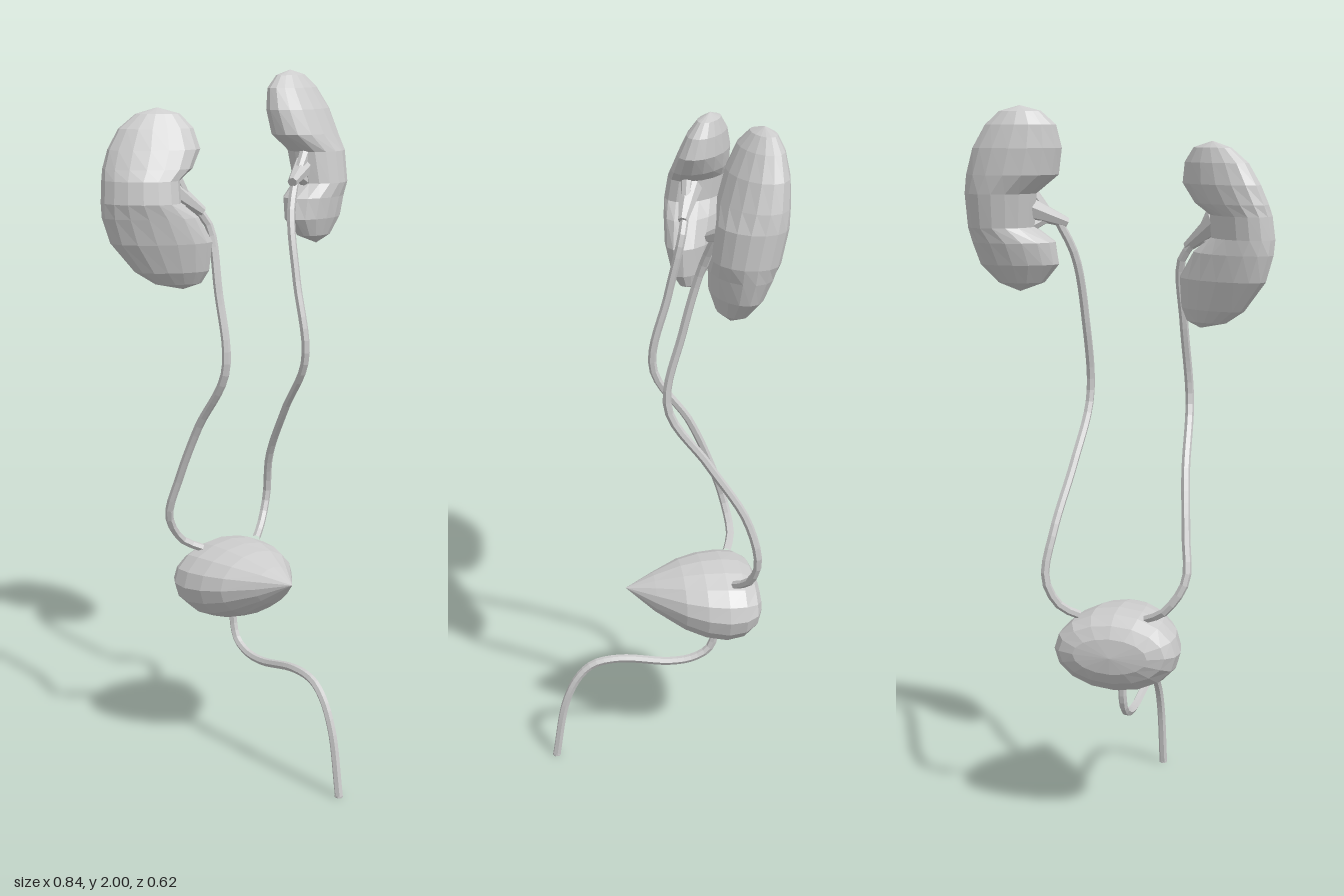
import * as THREE from 'three';

const tissue = new THREE.MeshStandardMaterial({ color: 0xcccccc, flatShading: true });
tissue.name = 'pale grey tissue';
const SIDES = 16;

function addMesh(parent, geometry, name) {
  const mesh = new THREE.Mesh(geometry, tissue);
  mesh.name = name;
  parent.add(mesh);
}

// Skin a closed body over cross-sections; the first and last rows are poles
function loft(rows, pointAt) {
  const positions = [], index = [], last = rows.length - 1;
  rows.forEach((row, i) => {
    for (let j = 0; j < SIDES; j++) {
      positions.push(...pointAt(row, (j / SIDES) * Math.PI * 2));
      if (i === last) continue;
      const a = i * SIDES + j, b = i * SIDES + ((j + 1) % SIDES);
      if (i > 0) index.push(a, b, a + SIDES);
      if (i < last - 1) index.push(b, b + SIDES, a + SIDES);
    }
  });
  const g = new THREE.BufferGeometry();
  g.setAttribute('position', new THREE.Float32BufferAttribute(positions, 3));
  g.setIndex(index);
  g.computeVertexNormals();
  return g;
}

// Kidney outline rows: y, inner x, outer x. Thickness follows an ellipse,
// the body leans from zTop to zBottom and skew turns each section.
function kidney({ outline, zTop, zBottom, depth, skew }) {
  const top = outline[0][0], height = top - outline[outline.length - 1][0];
  return loft(outline, ([y, inner, outer], angle) => {
    const t = (top - y) / height;
    const dx = (Math.abs(outer - inner) / 2) * Math.cos(angle);
    const thickness = depth * Math.sqrt(Math.max(0, 1 - (2 * t - 1) ** 2));
    const z = THREE.MathUtils.lerp(zTop, zBottom, t);
    return [(inner + outer) / 2 + dx, y, z + thickness * Math.sin(angle) + skew * dx];
  });
}

const vec = (p) => new THREE.Vector3(...p);
const tube = (points) => new THREE.TubeGeometry(new THREE.CatmullRomCurve3(points.map(vec)), 36, 0.012, 6);

// Tapered funnel running from one point to another
function funnel(from, to, r0, r1) {
  const dir = to.clone().sub(from), mid = from.clone().lerp(to, 0.5);
  const turn = new THREE.Quaternion().setFromUnitVectors(new THREE.Vector3(0, 1, 0), dir.clone().normalize());
  return new THREE.CylinderGeometry(r1, r0, dir.length(), 7)
    .applyQuaternion(turn).translate(mid.x, mid.y, mid.z);
}

const leftKidney = {
  zTop: -0.24, zBottom: -0.158, depth: 0.087, skew: -0.15,
  outline: [
    [2.0, 0.255, 0.255], [1.985, 0.2, 0.31], [1.95, 0.163, 0.35], [1.89, 0.152, 0.388],
    [1.82, 0.165, 0.41], [1.77, 0.23, 0.417], [1.68, 0.24, 0.415], [1.64, 0.185, 0.407],
    [1.58, 0.178, 0.39], [1.53, 0.22, 0.345], [1.505, 0.288, 0.288],
  ],
};
const rightKidney = {
  zTop: -0.192, zBottom: -0.138, depth: 0.085, skew: 0.4,
  outline: [
    [1.91, -0.25, -0.25], [1.893, -0.195, -0.305], [1.855, -0.167, -0.352], [1.8, -0.158, -0.385],
    [1.75, -0.19, -0.405], [1.72, -0.233, -0.413], [1.66, -0.235, -0.42], [1.62, -0.185, -0.417],
    [1.55, -0.144, -0.397], [1.47, -0.15, -0.337], [1.435, -0.167, -0.285], [1.418, -0.21, -0.21],
  ],
};

// Ureters run from the kidney hilum down to the bladder
const leftUreter = [
  [0.19, 1.703, -0.135], [0.148, 1.6, -0.105], [0.132, 1.42, -0.06], [0.132, 1.2, -0.02],
  [0.148, 1.03, -0.13], [0.175, 0.86, -0.238], [0.19, 0.73, -0.27], [0.155, 0.652, -0.252],
  [0.11, 0.62, -0.22],
];
const rightUreter = [
  [-0.185, 1.645, -0.115], [-0.147, 1.59, -0.1], [-0.147, 1.42, -0.062], [-0.155, 1.2, -0.02],
  [-0.17, 1.02, -0.13], [-0.188, 0.86, -0.2], [-0.196, 0.74, -0.24], [-0.14, 0.655, -0.252],
  [-0.085, 0.625, -0.232],
];

// Bladder rows from the front tip to the back: z, half width, top y, bottom y
const bladder = [
  [0.083, 0, 0.572, 0.572], [0, 0.068, 0.607, 0.497], [-0.08, 0.133, 0.633, 0.445],
  [-0.14, 0.162, 0.643, 0.42], [-0.2, 0.175, 0.645, 0.409], [-0.25, 0.172, 0.638, 0.42],
  [-0.285, 0.15, 0.615, 0.45], [-0.303, 0.105, 0.582, 0.482], [-0.31, 0, 0.53, 0.53],
];

// Urethra path in side profile: y, z
const urethra = [
  [0.43, -0.188], [0.385, -0.185], [0.34, -0.168], [0.312, -0.12], [0.305, -0.05],
  [0.327, 0.1], [0.315, 0.18], [0.275, 0.225], [0.19, 0.265], [0.003, 0.298],
];

// One kidney with its collecting funnel, two branches and ureter
function addSide(model, side, body, ureter, hilum, outlet) {
  const group = new THREE.Group();
  group.name = side + 'Side';
  model.add(group);
  const start = vec(hilum), end = vec(outlet), hub = start.clone().lerp(end, 0.6);
  addMesh(group, kidney(body), side + 'Kidney');
  addMesh(group, funnel(start, end, 0.034, 0.014), side + 'Pelvis');
  for (const dy of [0.06, -0.06]) {
    const tip = start.clone().add(new THREE.Vector3(0, dy, 0.01));
    addMesh(group, funnel(tip, hub, 0.018, 0.012), side + 'Calyx');
  }
  addMesh(group, tube(ureter), side + 'Ureter');
}

export function createModel() {
  const model = new THREE.Group();
  model.name = 'urinarySystem';
  addSide(model, 'left', leftKidney, leftUreter, [0.265, 1.735, -0.18], [0.165, 1.69, -0.12]);
  addSide(model, 'right', rightKidney, rightUreter, [-0.255, 1.7, -0.14], [-0.165, 1.63, -0.105]);

  addMesh(model, loft(bladder, ([z, w, top, bottom], angle) => [
    w * Math.cos(angle), (top + bottom) / 2 - ((top - bottom) / 2) * Math.sin(angle), z,
  ]), 'bladder');

  // Urethra with a closed lower end
  addMesh(model, tube(urethra.map(([y, z]) => [-0.005, y, z])), 'urethra');
  addMesh(model, new THREE.CylinderGeometry(0.012, 0.012, 0.006, 6).translate(-0.005, 0.003, 0.298), 'urethraEnd');
  return model;
}
